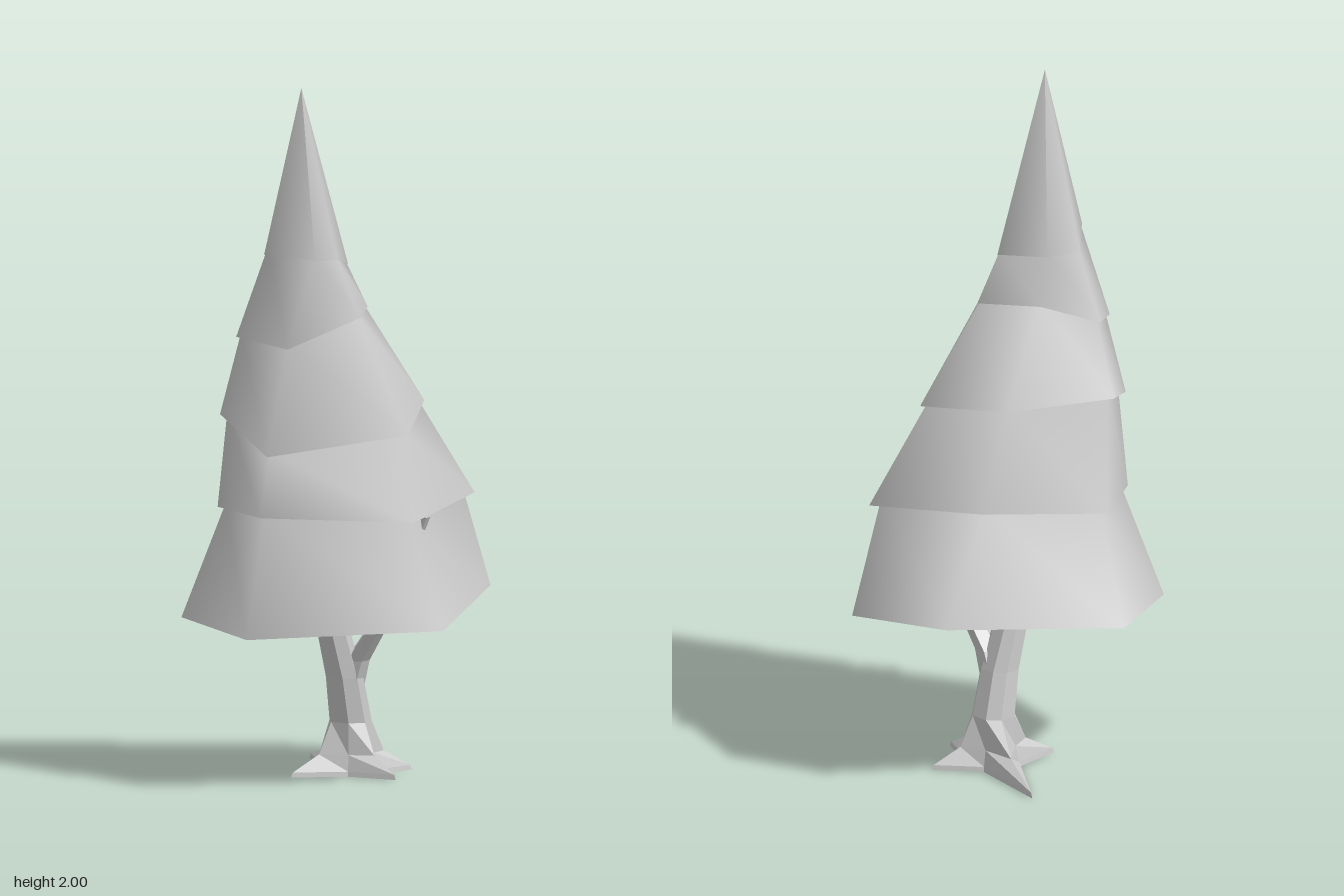
import * as THREE from 'three';

// Joins closed rings of [x, y, z] points (clockwise seen from above) into a skin.
function loft(rings, capped = false) {
  const n = rings[0].length;
  const index = [];
  for (let r = 0; r < rings.length - 1; r++) {
    for (let i = 0; i < n; i++) {
      const j = (i + 1) % n;
      const a = r * n + i, b = r * n + j, c = a + n, d = b + n;
      index.push(a, c, d, a, d, b);
    }
  }
  const points = rings.flat();
  if (capped) {
    const mid = (ring) => [0, 1, 2].map((k) => ring.reduce((s, p) => s + p[k], 0) / n);
    const low = points.push(mid(rings[0])) - 1;
    const high = points.push(mid(rings[rings.length - 1])) - 1;
    const top = (rings.length - 1) * n;
    for (let i = 0; i < n; i++) {
      const j = (i + 1) % n;
      index.push(low, i, j, high, top + j, top + i);
    }
  }
  const g = new THREE.BufferGeometry();
  g.setAttribute('position', new THREE.Float32BufferAttribute(points.flat(), 3));
  g.setIndex(index);
  g.computeVertexNormals();
  return g;
}

// Horizontal ring round a centre, at the given angles in degrees from the back.
const ringAt = ([x, y, z], radius, angles) => angles.map((deg, i) => {
  const t = THREE.MathUtils.degToRad(deg);
  const r = typeof radius === 'function' ? radius(i) : radius;
  return [x + r * Math.sin(t), y, z - r * Math.cos(t)];
});

// Shrinks a ring towards its own middle and lifts it.
function inset(ring, scale, lift) {
  const cx = ring.reduce((s, p) => s + p[0], 0) / ring.length;
  const cz = ring.reduce((s, p) => s + p[2], 0) / ring.length;
  return ring.map(([x, y, z]) => [cx + (x - cx) * scale, y + lift, cz + (z - cz) * scale]);
}

// Uneven six-cornered rims of the foliage tiers, from the lowest up.
const RIMS = [
  [[0.08, 0.515, -0.43], [0.375, 0.51, -0.37], [0.39, 0.46, 0.215], [-0.13, 0.445, 0.43], [-0.39, 0.465, 0.17], [-0.38, 0.49, -0.205]],
  [[0.02, 0.81, -0.257], [0.365, 0.795, -0.23], [0.3, 0.765, 0.2], [-0.1, 0.79, 0.392], [-0.285, 0.785, 0.165], [-0.3, 0.79, -0.095]],
  [[-0.02, 1.085, -0.15], [0.245, 1.07, -0.125], [0.275, 1.01, 0.165], [-0.09, 0.96, 0.355], [-0.27, 1.055, 0.195], [-0.285, 1.095, 0.02]],
  [[-0.07, 1.35, 0.02], [0.112, 1.35, 0], [0.14, 1.345, 0.19], [-0.04, 1.265, 0.315], [-0.22, 1.28, 0.205], [-0.23, 1.3, 0.075]],
  [[-0.08, 1.49, 0.05], [0.07, 1.48, 0.06], [0.078, 1.51, 0.205], [0.03, 1.515, 0.275], [-0.125, 1.53, 0.25], [-0.165, 1.5, 0.095]],
];
const APEX = [-0.03, 2, 0.2];

export function createModel() {
  const model = new THREE.Group();
  const leaf = new THREE.MeshStandardMaterial({ color: 0xcccccc, side: THREE.DoubleSide });
  const bark = new THREE.MeshStandardMaterial({ color: 0xcccccc, flatShading: true });
  const add = (name, geometry, material) => {
    const mesh = new THREE.Mesh(geometry, material);
    mesh.name = name;
    model.add(mesh);
  };

  // Foliage: each tier rises to a neck tucked under the overhanging rim above it
  RIMS.forEach((rim, i) => {
    const next = RIMS[i + 1];
    if (next) {
      const neck = inset(next, 0.92, 0.015);
      add('foliageTier' + (i + 1), loft([rim, neck]), leaf);
      add('foliageLedge' + (i + 1), loft([neck, next]), leaf);
    } else {
      add('foliageTop', loft([rim, rim.map(() => APEX)]), leaf);
    }
  });

  // Trunk: a star of four roots narrowing into a leaning stem
  const angles = [56, 90, 124, 170, 225, 275, 324, 365];
  const rootReach = [0.185, 0.09, 0.195, 0.08, 0.195, 0.08, 0.32, 0.08];
  const foot = [0.04, 0, -0.08];
  const at = (y) => [foot[0], y, foot[2]];
  add('trunk', loft([
    ringAt(foot, (i) => rootReach[i], angles),
    ringAt(at(0.014), (i) => rootReach[i] * 0.97, angles),
    ringAt(at(0.06), (i) => 0.06 + (rootReach[i] - 0.06) * 0.32, angles),
    ringAt(at(0.15), 0.063, angles),
    ringAt([0.03, 0.28, -0.05], 0.056, angles),
    ringAt([0.0, 0.45, -0.01], 0.048, angles),
    ringAt([-0.01, 0.75, 0.08], 0.036, angles),
    ringAt([-0.02, 1.0, 0.13], 0.015, angles),
  ], true), bark);

  // Side branch, its tip just breaking through the lowest tier
  const five = [0, 72, 144, 216, 288];
  add('branch', loft([
    ringAt([0.035, 0.23, -0.06], 0.045, five),
    ringAt([0.07, 0.33, -0.04], 0.036, five),
    ringAt([0.15, 0.45, 0.0], 0.028, five),
    ringAt([0.3, 0.765, 0.08], 0.016, five),
  ], true), bark);

  return model;
}
